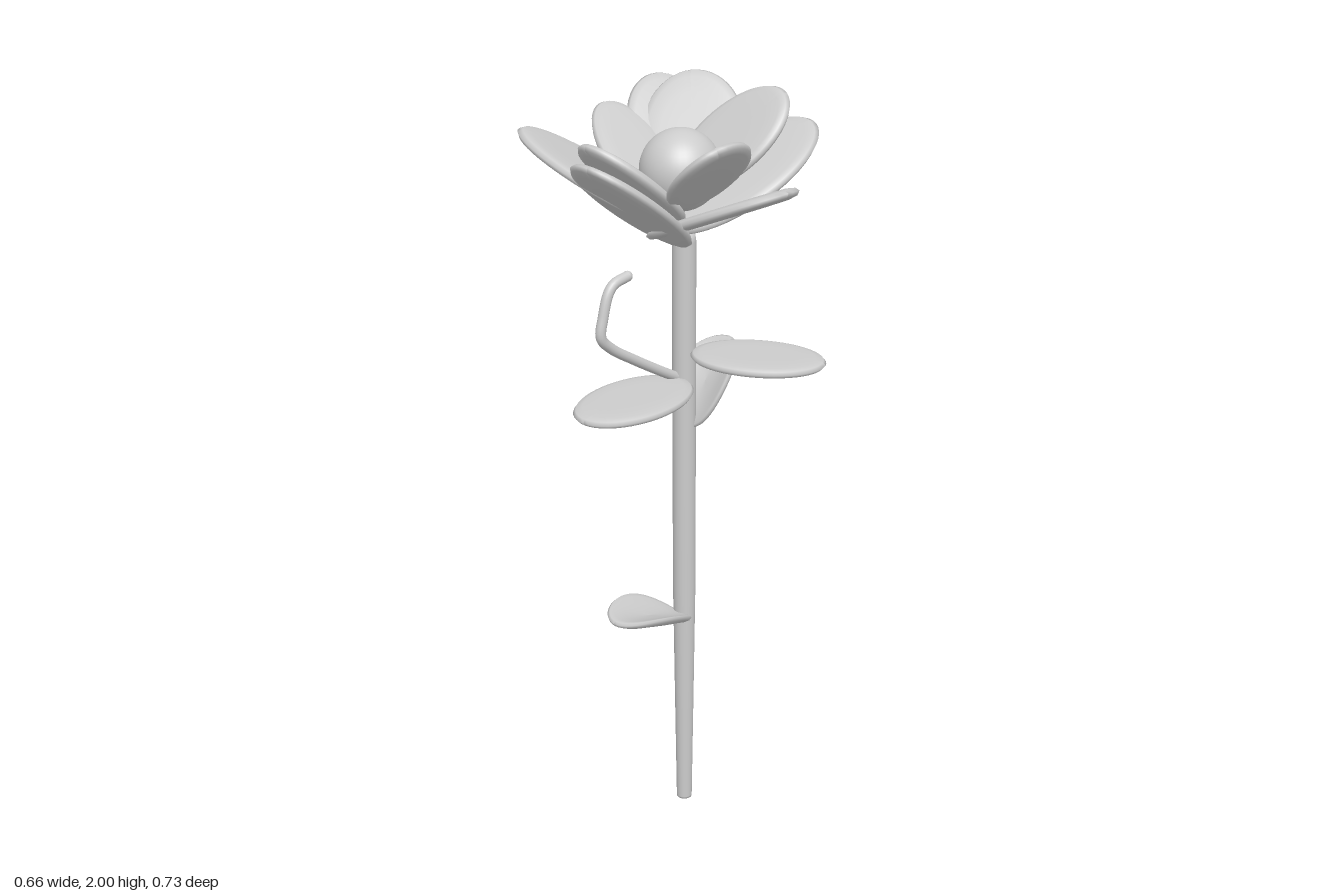
import * as THREE from 'three';

const rad = THREE.MathUtils.degToRad;
const material = new THREE.MeshStandardMaterial({ color: 0xcccccc });

// Rounded elliptical blade lying flat, long axis on z; cup lifts its two sides
function bladeGeometry(halfLength, halfWidth, thickness, cup = 0) {
  const t = thickness / 2;
  const profile = [[0.001, -t], [0.3, -t], [0.6, -t * 0.98], [0.85, -t * 0.9], [0.96, -t * 0.6], [1, 0],
    [0.96, t * 0.6], [0.85, t * 0.9], [0.6, t * 0.98], [0.3, t], [0.001, t]];
  const geometry = new THREE.LatheGeometry(profile.map(([r, y]) => new THREE.Vector2(r, y)), 48);
  geometry.scale(halfWidth, 1, halfLength);
  const pos = geometry.attributes.position;
  for (let i = 0; i < pos.count; i++) {
    pos.setY(i, pos.getY(i) + cup * (pos.getX(i) / halfWidth) ** 2);
  }
  geometry.computeVertexNormals();
  return geometry;
}

// heading: compass direction the blade rises towards (0 = front, 90 = +x)
// tilt: rise above horizontal; skew: turn of the long axis within the blade
function blade(name, { at, heading, tilt = 0, skew = 0, size, thickness = 0.03, cup = 0 }) {
  const geometry = bladeGeometry(size[0], size[1], thickness, cup);
  geometry.rotateY(rad(skew));
  const mesh = new THREE.Mesh(geometry, material);
  mesh.name = name;
  mesh.rotation.set(-rad(tilt), rad(heading), 0, 'YXZ');
  mesh.position.set(...at);
  return mesh;
}

export function createModel() {
  const model = new THREE.Group();
  model.name = 'flower';
  const add = (name, geometry, x, y, z) => {
    const mesh = new THREE.Mesh(geometry, material);
    mesh.name = name;
    mesh.position.set(x, y, z);
    model.add(mesh);
  };

  // Stem, narrowing towards the foot
  const stem = [[0.001, 0], [0.021, 0], [0.021, 0.005], [0.025, 0.3], [0.03, 0.68], [0.03, 1.63], [0.027, 1.65], [0.001, 1.66]];
  add('stem', new THREE.LatheGeometry(stem.map(([r, y]) => new THREE.Vector2(r, y)), 32), -0.02, 0, -0.01);

  // Round flower centre
  add('flowerCentre', new THREE.SphereGeometry(0.1, 40, 28), -0.022, 1.81, 0);

  // Outer petals, spread wide
  const outer = [
    { at: [0.095, 1.72, -0.02], heading: 90, tilt: 24, size: [0.235, 0.14] },
    { at: [0.01, 1.77, -0.165], heading: 180, tilt: 30, skew: -17, size: [0.235, 0.14] },
    { at: [-0.01, 1.755, 0.17], heading: 0, tilt: 38, skew: 10, size: [0.222, 0.13] },
    { at: [-0.165, 1.79, 0.135], heading: 315, tilt: 31, size: [0.222, 0.14] },
    { at: [-0.17, 1.84, -0.13], heading: 246, tilt: 42, size: [0.19, 0.12] },
  ];
  // Inner petals, smaller and steeper
  const inner = [
    { at: [0.055, 1.88, -0.095], heading: 180, tilt: 48, skew: -30, size: [0.17, 0.11] },
    { at: [0.132, 1.835, 0.06], heading: 90, tilt: 42, skew: -30, size: [0.17, 0.11] },
    { at: [-0.03, 1.8, 0.15], heading: 0, tilt: 42, skew: -8, size: [0.17, 0.108] },
    { at: [-0.16, 1.82, 0.01], heading: 270, tilt: 35, skew: -10, size: [0.18, 0.1] },
    { at: [-0.122, 1.86, -0.14], heading: 212, tilt: 48, skew: 10, size: [0.17, 0.13] },
  ];
  outer.forEach((p) => model.add(blade('outerPetal', p)));
  inner.forEach((p) => model.add(blade('innerPetal', p)));

  // Flat and cupped leaves
  const leaves = [
    { at: [0.168, 1.355, -0.08], heading: 120, size: [0.17, 0.11], thickness: 0.026 },
    { at: [0.002, 1.27, 0.183], heading: 5, size: [0.182, 0.113], thickness: 0.026 },
    { at: [-0.02, 1.235, -0.095], heading: 180, tilt: 53, size: [0.13, 0.09], thickness: 0.022, cup: 0.035 },
    { at: [-0.02, 0.622, 0.12], heading: 0, tilt: 16, size: [0.13, 0.09], thickness: 0.022, cup: 0.035 },
  ];
  leaves.forEach((p) => model.add(blade('leaf', p)));

  // Curling tendril with a rounded tip
  const path = [[0, 1.27], [0.07, 1.31], [0.16, 1.365], [0.235, 1.415], [0.266, 1.45], [0.258, 1.5],
    [0.24, 1.555], [0.222, 1.574], [0.178, 1.584]];
  const curve = new THREE.CatmullRomCurve3(path.map(([z, y]) => new THREE.Vector3(-0.022, y, z)));
  add('tendril', new THREE.TubeGeometry(curve, 60, 0.013, 14), 0, 0, 0);
  add('tendrilTip', new THREE.SphereGeometry(0.013, 14, 10), -0.022, 1.584, 0.178);

  return model;
}
